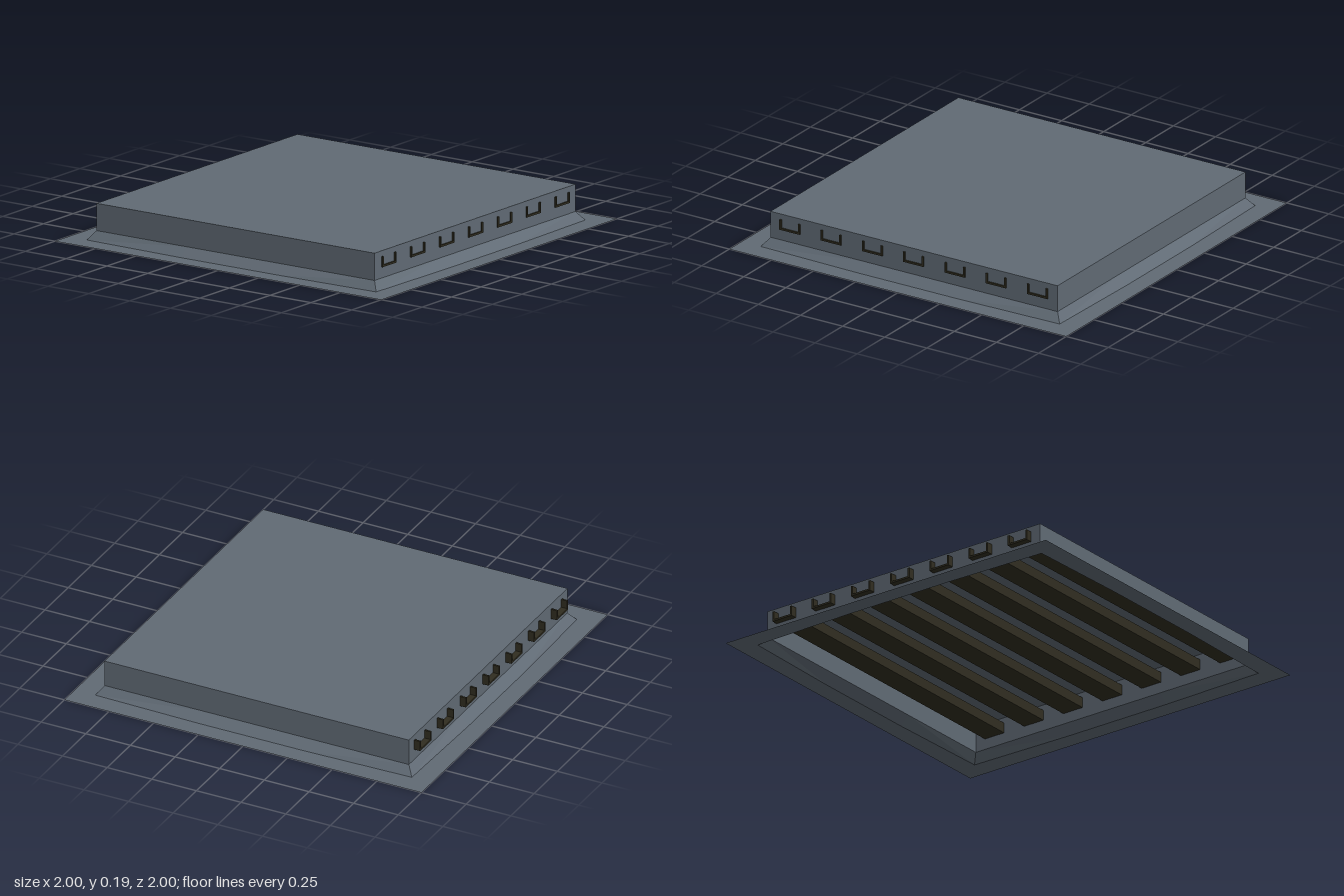
import * as THREE from 'three';

const slate = new THREE.MeshStandardMaterial({ color: 0x606a74, side: THREE.DoubleSide });
slate.name = 'slate metal';
const bronze = new THREE.MeshStandardMaterial({ color: 0x302d20 });
bronze.name = 'dark bronze';

// One side of the slightly bowed opening, turned to make the full loop (x, z)
function openingLoop() {
  const side = [[-0.887, 0.887], [-0.3, 0.9], [0.3, 0.9]];
  const loop = [];
  for (let k = 0; k < 4; k++) {
    const a = k * Math.PI / 2, c = Math.cos(a), s = Math.sin(a);
    for (const [x, z] of side) loop.push(new THREE.Vector2(x * c + z * s, z * c - x * s));
  }
  return loop;
}

// Faces between a lower and an upper loop of equal length
function band(lower, y0, upper, y1) {
  const pos = [];
  lower.forEach((a, i) => {
    const j = (i + 1) % lower.length, b = lower[j], c = upper[j], d = upper[i];
    pos.push(a.x, y0, a.y, b.x, y0, b.y, c.x, y1, c.y);
    pos.push(a.x, y0, a.y, c.x, y1, c.y, d.x, y1, d.y);
  });
  const g = new THREE.BufferGeometry();
  g.setAttribute('position', new THREE.Float32BufferAttribute(pos, 3));
  g.computeVertexNormals();
  return g;
}

export function createModel() {
  const model = new THREE.Group();
  const add = (name, geometry, material, parent = model) => {
    const mesh = new THREE.Mesh(geometry, material);
    mesh.name = name;
    parent.add(mesh);
    return mesh;
  };
  const half = 0.852, skirtTop = 0.046, top = 0.186;

  // Flat flange with the bowed opening
  const opening = openingLoop();
  const plate = new THREE.Shape([[-1, -1], [1, -1], [1, 1], [-1, 1]].map(p => new THREE.Vector2(...p)));
  plate.holes.push(new THREE.Path(opening));
  add('flange', new THREE.ShapeGeometry(plate).rotateX(-Math.PI / 2), slate);

  // Sloped skirt up to the square cover
  const square = opening.map(p => new THREE.Vector2(
    Math.abs(p.x) > 0.5 ? Math.sign(p.x) * half : p.x,
    Math.abs(p.y) > 0.5 ? Math.sign(p.y) * half : p.y));
  add('skirt', band(opening, 0, square, skirtTop), slate);

  // Cover: four walls and a lid, open underneath
  const corners = [[-1, 1], [1, 1], [1, -1], [-1, -1]].map(([x, z]) => new THREE.Vector2(x * half, z * half));
  add('coverWalls', band(corners, skirtTop, corners, top), slate);
  add('coverLid', new THREE.PlaneGeometry(2 * half, 2 * half).rotateX(-Math.PI / 2), slate).position.y = top;

  // Seven upward-open channels running across, poking through both side walls
  const x0 = -0.886, x1 = 0.86, w = 0.12, h = 0.054, t = 0.01, y0 = 0.103;
  const profile = new THREE.Shape([
    [-w / 2, 0], [w / 2, 0], [w / 2, h], [w / 2 - t, h],
    [w / 2 - t, t], [-w / 2 + t, t], [-w / 2 + t, h], [-w / 2, h],
  ].map(p => new THREE.Vector2(...p)));
  const channel = new THREE.ExtrudeGeometry(profile, { depth: x1 - x0, bevelEnabled: false })
    .rotateY(Math.PI / 2).translate(x0, y0, 0);
  const channels = new THREE.Group();
  channels.name = 'channels';
  model.add(channels);
  for (let i = -3; i <= 3; i++) add('channel', channel, bronze, channels).position.z = i * 0.245;

  return model;
}
